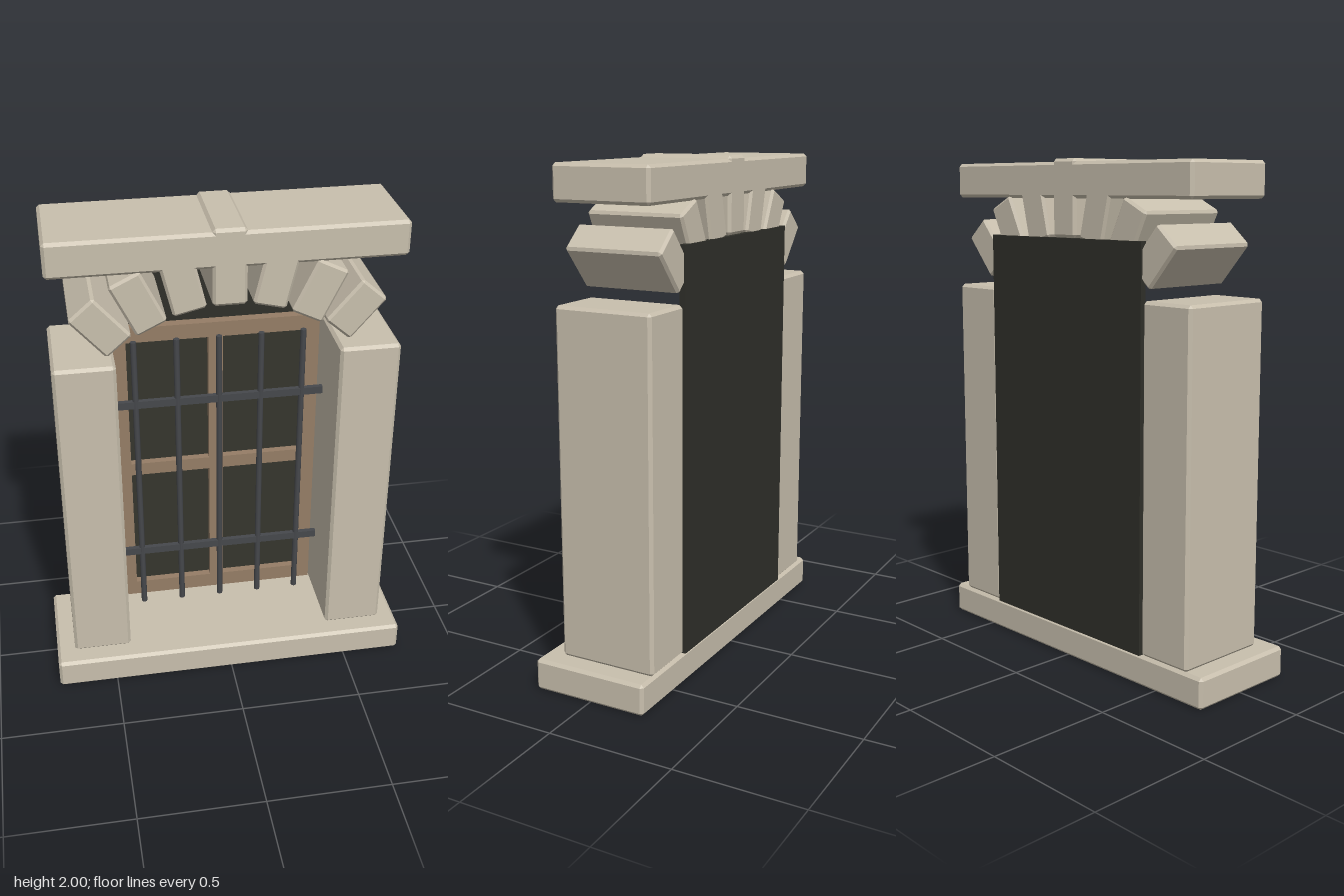
import * as THREE from 'three';
import { ConvexGeometry } from 'three/addons/geometries/ConvexGeometry.js';

const mat = (name, color, flatShading = false) => {
  const m = new THREE.MeshStandardMaterial({ color, flatShading });
  m.name = name;
  return m;
};

// Box with a flat chamfer on every edge
function chamferBox(w, h, d, b) {
  const pts = [];
  for (const x of [-1, 1]) for (const y of [-1, 1]) for (const z of [-1, 1]) {
    const [X, Y, Z] = [w / 2, h / 2, d / 2];
    pts.push(
      new THREE.Vector3(x * X, y * (Y - b), z * (Z - b)),
      new THREE.Vector3(x * (X - b), y * Y, z * (Z - b)),
      new THREE.Vector3(x * (X - b), y * (Y - b), z * Z));
  }
  return new ConvexGeometry(pts);
}

export function createModel() {
  const model = new THREE.Group();
  model.name = 'barredWindow';
  const stone = mat('stone', 0xc8bfad, true);
  const wood = mat('wood', 0x957d66);
  const iron = mat('iron', 0x46484c);
  const dark = mat('darkBacking', 0x2f2f29);
  const glass = mat('darkGlass', 0x35352d);

  const add = (name, geo, material, x, y, z, parent = model) => {
    const mesh = new THREE.Mesh(geo, material);
    mesh.name = name;
    mesh.position.set(x, y, z);
    parent.add(mesh);
    return mesh;
  };
  // Parts given by their limits on each axis
  const span = (make) => (name, material, x0, x1, y0, y1, z0, z1, parent) =>
    add(name, make(x1 - x0, y1 - y0, z1 - z0), material,
      (x0 + x1) / 2, (y0 + y1) / 2, (z0 + z1) / 2, parent);
  const block = span((w, h, d) => chamferBox(w, h, d, 0.012));
  const box = span((w, h, d) => new THREE.BoxGeometry(w, h, d));

  // Stone surround
  const back = -0.235, front = 0.165;
  block('sill', stone, -0.745, 0.745, 0, 0.125, back, 0.24);
  block('leftJamb', stone, 0.43, 0.67, 0.125, 1.485, back, front);
  block('rightJamb', stone, -0.67, -0.43, 0.125, 1.485, back, front);
  block('lintel', stone, -0.67, 0.67, 1.85, 1.988, back, front);
  block('keystone', stone, -0.065, 0.065, 1.7, 2, back, front);

  // Arch stones: lower middle point, tilt in degrees, length
  const arch = new THREE.Group();
  arch.name = 'archStones';
  model.add(arch);
  for (const [x, y, deg, len] of [[0.148, 1.685, 13.5, 0.22], [0.29, 1.63, 26, 0.225], [0.413, 1.566, 41, 0.21]]) {
    const a = THREE.MathUtils.degToRad(deg);
    for (const s of [-1, 1]) {
      const m = add('archStone', chamferBox(0.13, len, front - back, 0.01), stone,
        s * (x + Math.sin(a) * len / 2), y + Math.cos(a) * len / 2, (front + back) / 2, arch);
      m.rotation.z = -s * a;
    }
  }

  // Dark panel closing the opening
  box('backPanel', dark, -0.43, 0.43, 0.125, 1.7, -0.242, -0.217);

  // Wooden frame with four panes
  const frame = new THREE.Group();
  frame.name = 'windowFrame';
  model.add(frame);
  const zb = -0.217, zf = -0.175;
  for (const [x0, x1] of [[-0.43, -0.365], [-0.03, 0.03], [0.365, 0.43]])
    box('frameStile', wood, x0, x1, 0.125, 1.47, zb, zf, frame);
  for (const [x0, x1] of [[-0.365, -0.03], [0.03, 0.365]]) {
    for (const [y0, y1] of [[0.125, 0.193], [0.772, 0.828], [1.405, 1.47]])
      box('frameRail', wood, x0, x1, y0, y1, zb, zf, frame);
    for (const [y0, y1] of [[0.193, 0.772], [0.828, 1.405]])
      box('glassPane', glass, x0, x1, y0, y1, -0.212, -0.206, frame);
  }

  // Iron grille
  const grille = new THREE.Group();
  grille.name = 'grille';
  model.add(grille);
  const rod = new THREE.CylinderGeometry(0.0125, 0.0125, 1.3, 8);
  for (let i = -2; i <= 2; i++) add('verticalBar', rod, iron, i * 0.171, 0.802, -0.09, grille);
  for (const y of [0.435, 1.17])
    box('crossBar', iron, -0.43, 0.43, y - 0.016, y + 0.016, -0.1, -0.08, grille);

  return model;
}
